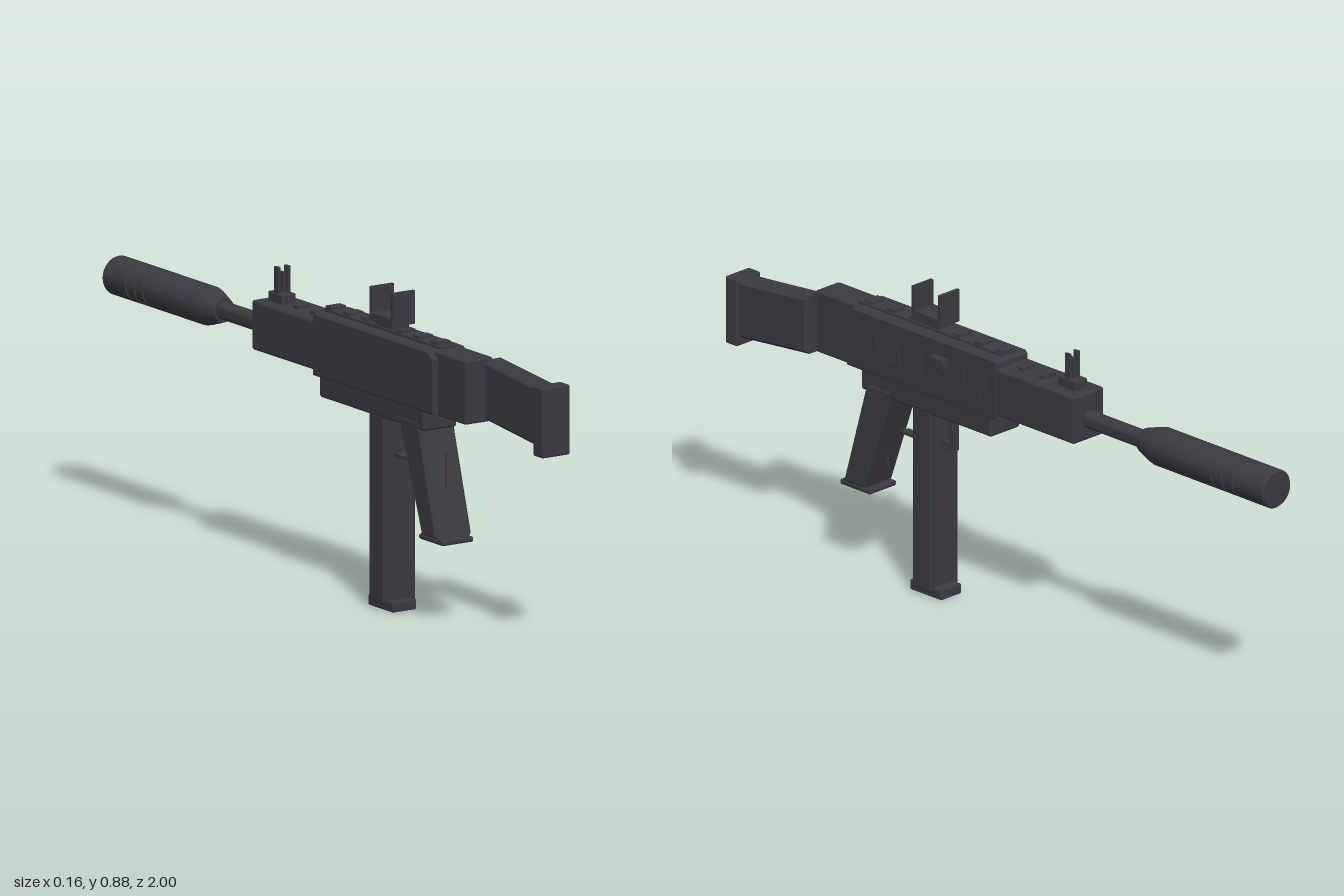
import * as THREE from 'three';
import { toCreasedNormals } from 'three/addons/utils/BufferGeometryUtils.js';
import { RoundedBoxGeometry } from 'three/addons/geometries/RoundedBoxGeometry.js';

export function createModel() {
  const group = new THREE.Group();
  const gunmetal = new THREE.MeshStandardMaterial({ color: 0x3b3a40 });
  gunmetal.name = 'gunmetal';
  const CX = -0.02; // centre line of barrel, receiver and magazine

  const add = (name, geo) => {
    const mesh = new THREE.Mesh(geo, gunmetal);
    mesh.name = name;
    group.add(mesh);
    return mesh;
  };
  // Box from its limits, optionally with softened edges
  const box = (name, x0, x1, y0, y1, z0, z1, r = 0) => {
    const size = [x1 - x0, y1 - y0, z1 - z0];
    const geo = r ? new RoundedBoxGeometry(...size, 2, r) : new THREE.BoxGeometry(...size);
    return add(name, geo).position.set((x0 + x1) / 2, (y0 + y1) / 2, (z0 + z1) / 2);
  };
  // Side outline of [z, y] points extruded across x, with bevelled edges
  const slab = (name, x0, x1, outline, b = 0.006) => {
    const shape = new THREE.Shape(outline.map(([z, y]) => new THREE.Vector2(-z, y)));
    const geo = new THREE.ExtrudeGeometry(shape, {
      depth: x1 - x0 - 2 * b, bevelEnabled: true, bevelSize: b,
      bevelThickness: b, bevelOffset: -b, bevelSegments: 1,
    });
    geo.rotateY(Math.PI / 2);
    geo.translate(x0 + b, 0, 0);
    return add(name, geo);
  };

  // Receiver and fore-end
  slab('upperReceiver', -0.08, 0.04,
    [[0.58, 0.59], [0.58, 0.745], [0.555, 0.765], [0.01, 0.765], [0.002, 0.757], [0.002, 0.59]]);
  box('lowerReceiver', -0.075, 0.036, 0.535, 0.61, 0.03, 0.525, 0.008);
  box('rearBlock', -0.065, 0.025, 0.588, 0.765, 0.56, 0.71, 0.006);
  box('foreEnd', -0.078, 0.038, 0.605, 0.742, -0.287, 0.02, 0.008);

  // Side stock, set off to the left
  slab('stock', 0.0, 0.066, [[0.965, 0.565], [0.965, 0.732], [0.70, 0.757], [0.70, 0.592]], 0.01);
  box('buttPlate', -0.013, 0.077, 0.545, 0.738, 0.955, 1.0, 0.005);

  // Barrel and suppressor, turned about one axis
  const turned = (name, pts) => {
    const profile = pts.map(([r, z]) => new THREE.Vector2(r, -z));
    const geo = toCreasedNormals(new THREE.LatheGeometry(profile, 32), 0.6);
    geo.rotateX(-Math.PI / 2);
    add(name, geo).position.set(CX - 0.002, 0.664, 0);
  };
  turned('barrel', [[0.025, -0.27], [0.025, -0.52]]);
  const grooves = [-0.8, -0.84, -0.88].flatMap((z) =>
    [[0.054, z], [0.05, z - 0.002], [0.05, z - 0.008], [0.054, z - 0.01]]);
  turned('suppressor', [[0, -0.497], [0.033, -0.497], [0.036, -0.505], [0.052, -0.555],
    [0.054, -0.565], ...grooves, [0.054, -0.995], [0.05, -1], [0, -1]]);

  // Top rails with cross slats
  box('topRail', -0.046, 0.008, 0.76, 0.772, 0.015, 0.565);
  for (let i = 0; i < 7; i++) {
    const z = 0.03 + i * 0.083;
    box('railSlat', -0.042, 0.004, 0.768, 0.78, z - 0.016, z + 0.012);
  }
  for (const z of [-0.05, -0.13]) box('foreSlat', -0.042, 0.004, 0.738, 0.752, z - 0.01, z + 0.01);

  // Rear sight: base with two upright plates
  box('rearSightFoot', -0.046, 0.008, 0.775, 0.79, 0.255, 0.335);
  box('rearSightBase', -0.055, 0.018, 0.787, 0.808, 0.24, 0.35);
  for (const z of [0.24, 0.34]) box('rearSightPlate', -0.055, 0.018, 0.787, 0.879, z, z + 0.01);

  // Front sight: stepped base with three prongs
  box('frontSightBase', -0.044, 0.002, 0.738, 0.768, -0.258, -0.19, 0.004);
  for (const x of [-0.037, CX - 0.001, -0.005]) {
    box('frontSightProng', x - 0.004, x + 0.004, 0.76, x < -0.03 || x > -0.01 ? 0.84 : 0.825, -0.232, -0.214);
  }

  // Control stud and ribs on the left flank
  box('controlStud', 0.03, 0.058, 0.687, 0.719, 0.188, 0.242, 0.004);
  for (const z of [0.05, 0.13, 0.29, 0.38, 0.46]) {
    box('sideRib', 0.036, 0.045, 0.645, 0.705, z - 0.006, z + 0.006);
    box('sideRibFoot', 0.036, 0.045, 0.645, 0.652, z - 0.006, z + 0.022);
  }

  // Raked pistol grip with thin edge wires
  slab('grip', -0.077, 0.039, [[0.592, 0.25], [0.503, 0.56], [0.405, 0.56], [0.515, 0.25]], 0.008);
  box('gripBase', -0.07, 0.031, 0.235, 0.25, 0.495, 0.61, 0.005);
  box('gripWire', CX - 0.002, CX + 0.002, 0.33, 0.48, 0.554, 0.557);
  box('gripWire', CX - 0.002, CX + 0.002, 0.31, 0.4, 0.477, 0.48);

  // Magazine
  box('magazine', -0.072, 0.035, 0.02, 0.54, 0.262, 0.33, 0.006);
  box('magazineBase', -0.057, 0.02, 0.001, 0.03, 0.235, 0.355, 0.004);

  // Trigger guard and front catch
  box('triggerGuard', -0.035, -0.008, 0.425, 0.433, 0.225, 0.415);
  box('frontCatch', -0.035, -0.008, 0.425, 0.545, 0.222, 0.236);
  slab('catchBrace', -0.033, -0.01, [[0.27, 0.43], [0.225, 0.43], [0.225, 0.45], [0.25, 0.45]], 0.002);

  return group;
}
